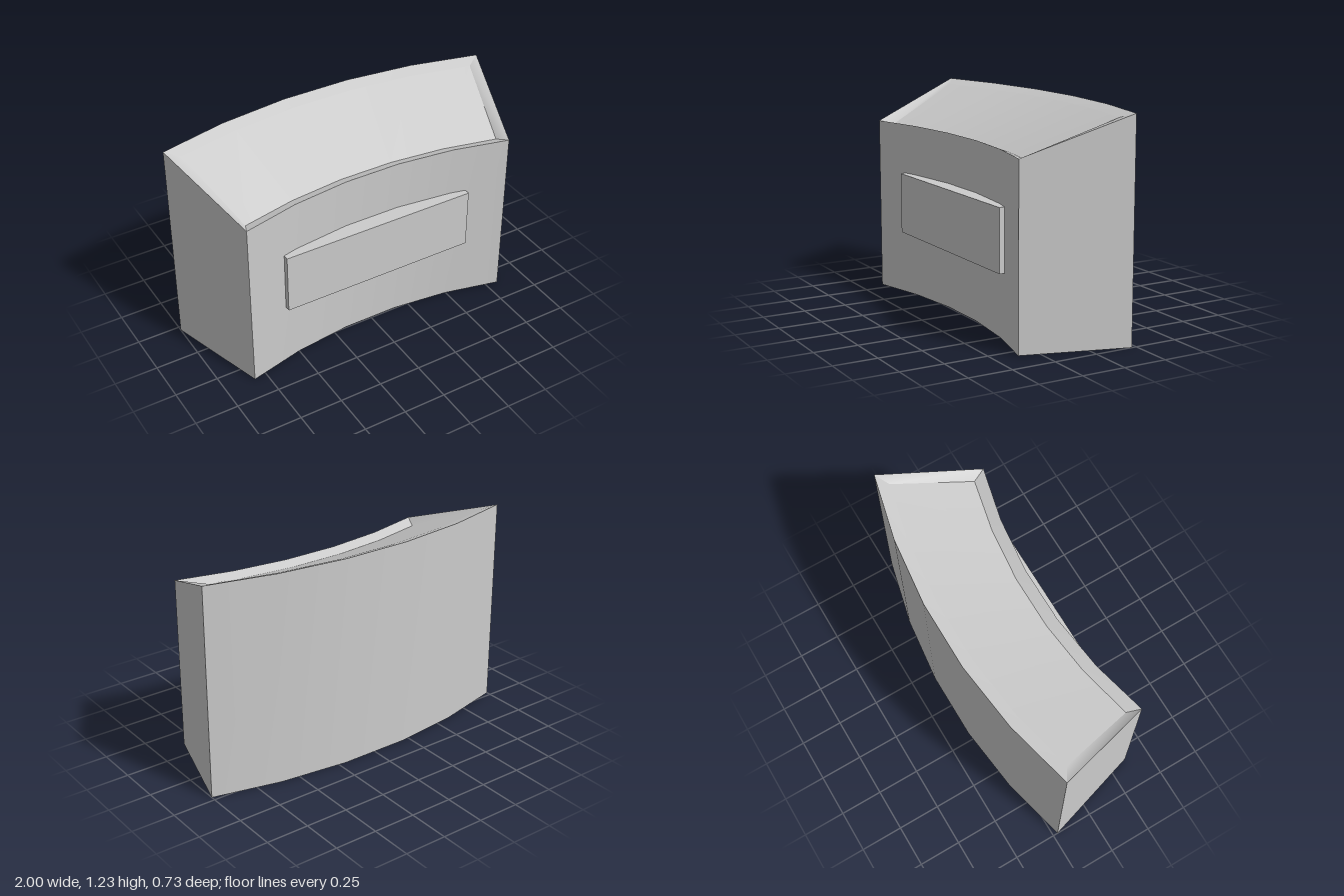
import * as THREE from 'three';

const SEGMENTS = 5;
const CENTRE_Z = 3.08; // centre of the arc, in front of the body
const BODY_ANGLE = THREE.MathUtils.degToRad(16.85);
const TRAY_ANGLE = THREE.MathUtils.degToRad(15.8);

// Radial cross-section: radius from the arc centre, height, half angle
const SECTION = {
  frontBottom: [2.84, 0, BODY_ANGLE],
  frontTop: [2.84, 1.02, BODY_ANGLE],
  trayFront: [2.905, 0.995, TRAY_ANGLE],
  trayBack: [3.38, 1.203, TRAY_ANGLE],
  backTop: [3.45, 1.23, BODY_ANGLE],
  backBottom: [3.45, 0, BODY_ANGLE],
};

// One point of the section, swept to t in -1..1 along the arc
function at(key, t) {
  const [r, y, half] = SECTION[key];
  return new THREE.Vector3(r * Math.sin(half * t), y, CENTRE_Z - r * Math.cos(half * t));
}

function arc(key) {
  return Array.from({ length: SEGMENTS + 1 }, (_, i) => at(key, (2 * i) / SEGMENTS - 1));
}

// Smooth strip between two rows of points (lower row left to right, then upper)
function strip(name, lower, upper, material) {
  const geometry = new THREE.BufferGeometry().setFromPoints([...lower, ...upper]);
  const n = lower.length;
  const index = [];
  for (let i = 0; i < n - 1; i++) {
    index.push(i, i + 1, n + i + 1, i, n + i + 1, n + i);
  }
  geometry.setIndex(index);
  geometry.computeVertexNormals();
  const mesh = new THREE.Mesh(geometry, material);
  mesh.name = name;
  return mesh;
}

export function createModel() {
  const model = new THREE.Group();
  model.name = 'curvedCounter';
  const grey = new THREE.MeshStandardMaterial({ color: 0xcccccc });

  // Surfaces swept along the arc, in order around the section
  const swept = [
    ['frontWall', 'frontBottom', 'frontTop'],
    ['frontRim', 'frontTop', 'trayFront'],
    ['trayFloor', 'trayFront', 'trayBack'],
    ['backRim', 'trayBack', 'backTop'],
    ['backWall', 'backTop', 'backBottom'],
    ['underside', 'backBottom', 'frontBottom'],
  ];
  for (const [name, from, to] of swept) model.add(strip(name, arc(from), arc(to), grey));

  // End panels and the sloping ends of the sunken tray
  for (const side of [1, -1]) {
    const label = side > 0 ? 'left' : 'right';
    const row = (a, b) => {
      const points = [at(a, side), at(b, side)];
      return side > 0 ? points : points.reverse();
    };
    model.add(strip(label + 'EndPanel', row('frontBottom', 'backBottom'), row('frontTop', 'backTop'), grey));
    model.add(strip(label + 'TrayEnd', row('trayBack', 'trayFront'), row('backTop', 'frontTop'), grey));
  }

  // Flat plate set into the curved front
  const plate = new THREE.Mesh(new THREE.BoxGeometry(1.17, 0.355, 0.12), grey);
  plate.name = 'frontPlate';
  plate.position.set(0, 0.552, 0.277);
  model.add(plate);

  return model;
}
